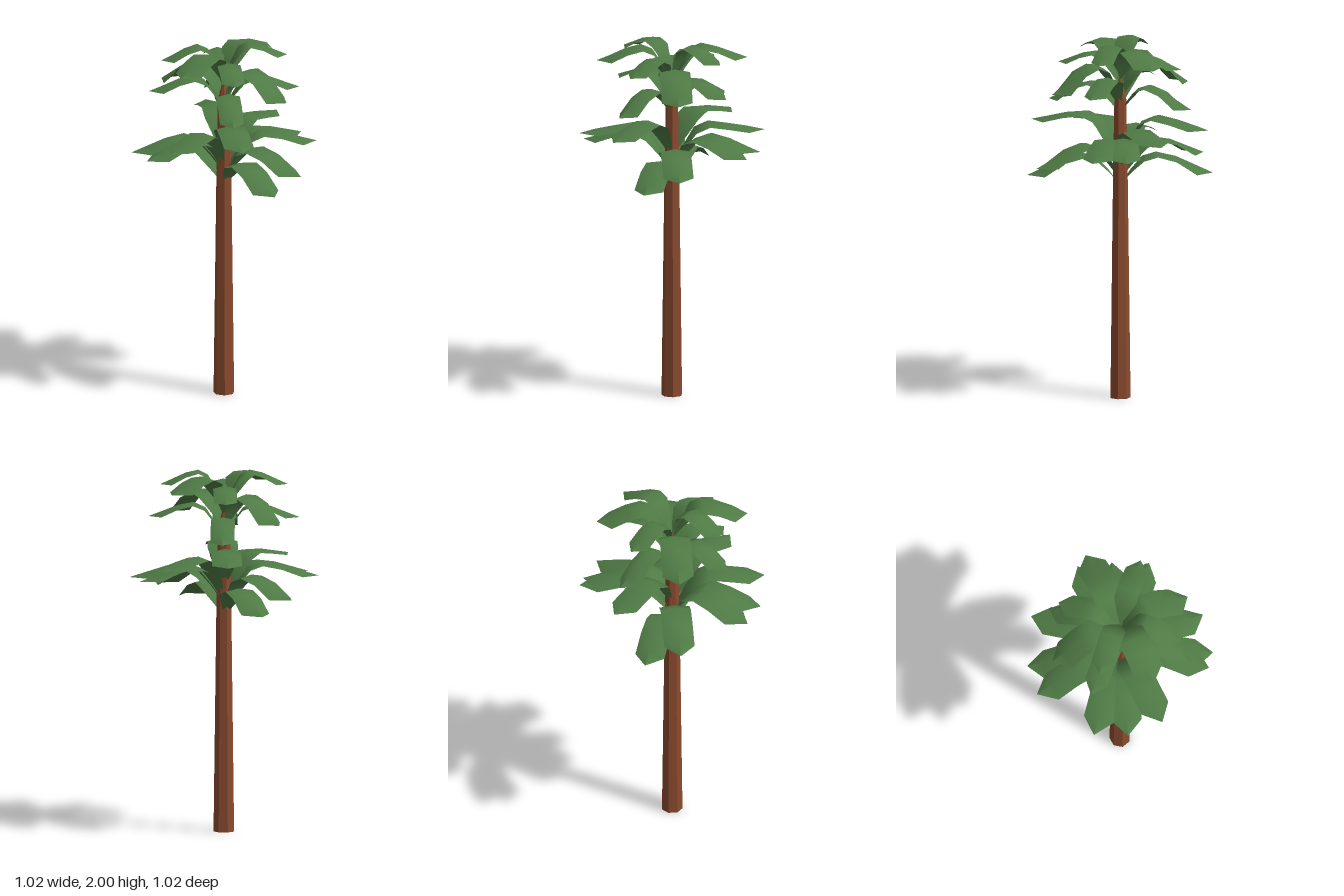
import * as THREE from 'three';

const bark = new THREE.MeshStandardMaterial({ color: 0x8a4b2f, flatShading: true });
const green = new THREE.MeshStandardMaterial({ color: 0x4f7a45, side: THREE.DoubleSide });

// Arched frond along +x: a midrib with two drooping edges, closing to a point
function frondGeometry(reach, half, base, peak, tip) {
  const drop = peak - tip, rise = peak - base;
  // [distance, midrib height, width, edge droop]
  const rows = [
    [0, base, 0, 0],
    [0.12, base + rise * 0.46, 0.55, 0.006],
    [0.25, base + rise * 0.86, 1, 0.012],
    [0.4, peak, 1, 0.015],
    [0.6, peak - drop * 0.2, 1, 0.02],
    [0.82, peak - drop * 0.64, 1, drop * 0.34],
    [1, tip, 0, 0],
  ];
  const pos = [], index = [];
  rows.forEach(([t, y, w, d], i) => {
    for (const s of [-1, 0, 1]) pos.push(t * reach, y - d * Math.abs(s), s * w * half);
    if (i === 0) return;
    for (let c = 0; c < 2; c++) {
      const a = (i - 1) * 3 + c, b = a + 3;
      if (i > 1) index.push(a, a + 1, b);
      if (i < rows.length - 1) index.push(a + 1, b + 1, b);
    }
    // the first row is a single point shared by both halves
    if (i === 1) index.push(1, 4, 3, 1, 5, 4);
  });
  const g = new THREE.BufferGeometry();
  g.setAttribute('position', new THREE.Float32BufferAttribute(pos, 3));
  g.setIndex(index);
  g.computeVertexNormals();
  return g;
}

export function createModel() {
  const model = new THREE.Group();

  // Seven-sided tapering trunk
  const profile = [[0, 0], [0.058, 0], [0.042, 1.25], [0.034, 1.68], [0, 1.81]]
    .map(([r, y]) => new THREE.Vector2(r, y));
  const trunk = new THREE.Mesh(new THREE.LatheGeometry(profile, 7, Math.PI / 2), bark);
  trunk.name = 'trunk';
  model.add(trunk);

  // Opposite pairs: angle from +x towards +z, reach, half width, base, peak and tip heights
  const crowns = {
    upperCrown: [
      [-44, 0.35, 0.064, 1.8, 2.0, 1.92],
      [90, 0.415, 0.085, 1.77, 1.98, 1.9],
      [45, 0.355, 0.064, 1.74, 1.93, 1.855],
      [0, 0.415, 0.085, 1.67, 1.88, 1.73],
      [-40.5, 0.415, 0.066, 1.62, 1.82, 1.74],
      [48.3, 0.42, 0.066, 1.59, 1.76, 1.64],
    ],
    lowerCrown: [
      [44.2, 0.51, 0.083, 1.34, 1.59, 1.525],
      [90, 0.51, 0.083, 1.28, 1.54, 1.49],
      [-68, 0.507, 0.083, 1.26, 1.49, 1.41],
      [-47, 0.52, 0.083, 1.26, 1.49, 1.41],
      [0, 0.51, 0.083, 1.22, 1.44, 1.325],
      [22.5, 0.51, 0.083, 1.19, 1.37, 1.25],
    ],
  };
  for (const [name, pairs] of Object.entries(crowns)) {
    const crown = new THREE.Group();
    crown.name = name;
    for (const [angle, ...shape] of pairs) {
      const geometry = frondGeometry(...shape);
      for (const turn of [0, 180]) {
        const frond = new THREE.Mesh(geometry, green);
        frond.name = 'frond';
        frond.rotation.y = -THREE.MathUtils.degToRad(angle + turn);
        crown.add(frond);
      }
    }
    model.add(crown);
  }
  return model;
}
